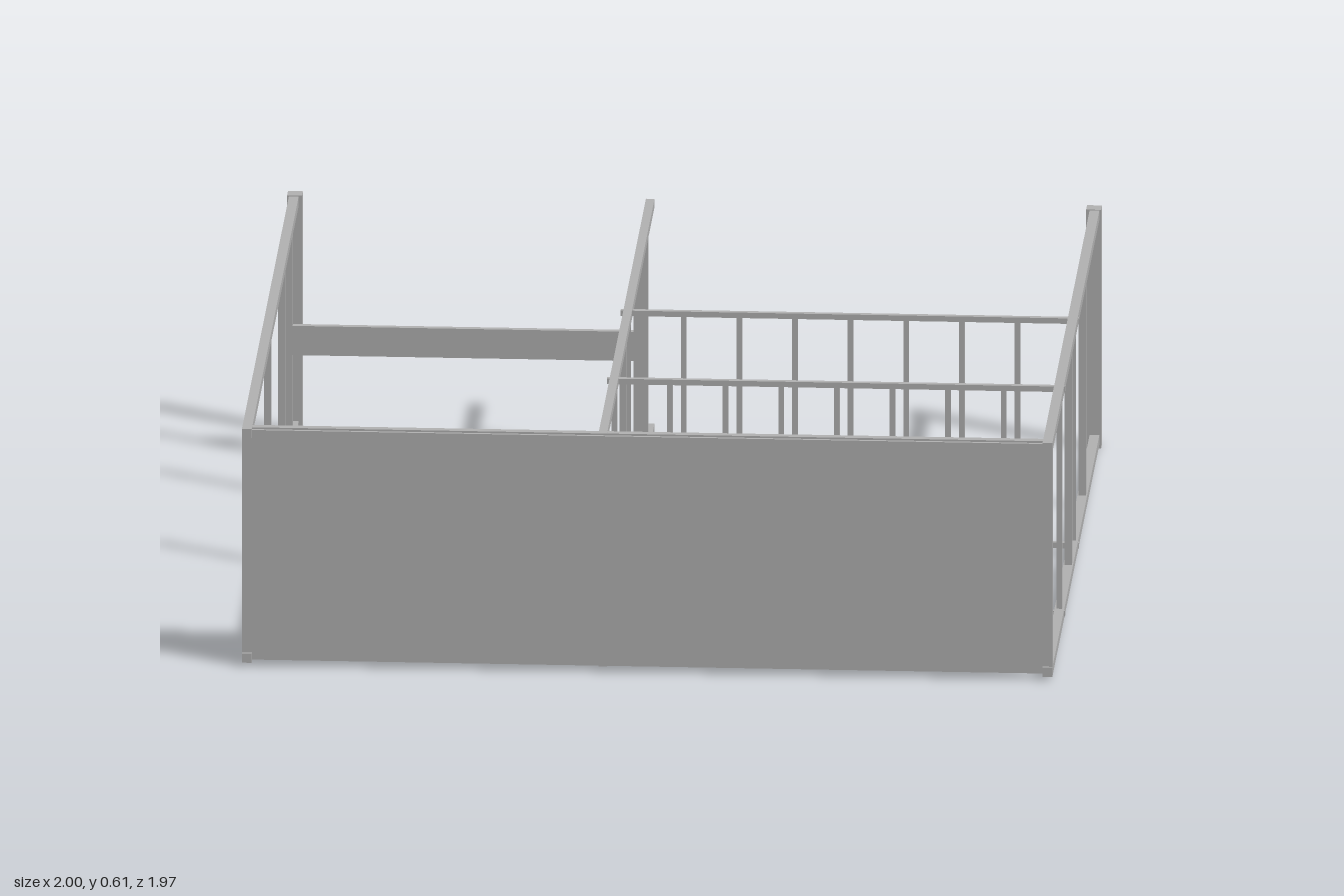
import * as THREE from 'three';

export function createModel() {
  const model = new THREE.Group();
  const grey = new THREE.MeshStandardMaterial({ color: 0xb2b2b2 });
  grey.name = 'steelGrey';

  // Adds a box given by its ranges on each axis
  function bar(name, [x0, x1], [y0, y1], [z0, z1], parent = model) {
    const mesh = new THREE.Mesh(new THREE.BoxGeometry(x1 - x0, y1 - y0, z1 - z0), grey);
    mesh.position.set((x0 + x1) / 2, (y0 + y1) / 2, (z0 + z1) / 2);
    mesh.name = name;
    parent.add(mesh);
  }
  const around = (c, width) => [c - width / 2, c + width / 2];
  const group = (name) => {
    const g = new THREE.Group();
    g.name = name;
    model.add(g);
    return g;
  };

  const LOW = 0.022, HIGH = 0.598;   // rail centre heights
  const SIDE = 0.983, MID = -0.11;   // wall positions in x
  const STUD = [0.034, 0.586];       // stud height range

  // Side walls: rails, corner posts and studs
  for (const s of [1, -1]) {
    const wall = group(s > 0 ? 'leftWall' : 'rightWall');
    const x = s * SIDE;
    for (const y of [LOW, HIGH]) bar('sideRail', around(x, 0.024), around(y, 0.024), [-0.95, 0.982], wall);
    bar('backPost', around(s * 0.981, 0.037), [0, 0.612], [-0.985, -0.948], wall);
    bar('frontPost', around(x, 0.024), STUD, [0.945, 0.975], wall);
    const studs = s > 0 ? [0.12, -0.455] : [0.12, -0.455, -0.755];
    for (const z of studs) bar('sideStud', around(x, 0.018), STUD, around(z, 0.02), wall);
  }

  // Middle wall, open at the back
  const middle = group('middleWall');
  for (const y of [LOW, HIGH]) bar('middleRail', around(MID, 0.021), around(y, 0.022), [-0.983, 0.965], middle);
  for (const z of [0.953, 0.12, -0.455, -0.755]) {
    bar('middleStud', around(MID, 0.018), STUD, around(z, 0.02), middle);
  }

  // Front wall: rails behind a thin solid panel
  const front = group('frontWall');
  for (const y of [LOW, HIGH]) bar('frontRail', [-SIDE, SIDE], around(y, 0.02), around(0.951, 0.02), front);
  bar('frontPanel', [-0.986, 0.986], [0.016, 0.605], [0.966, 0.974], front);

  // Two light partitions with evenly spaced studs
  for (const z of [0.49, -0.075]) {
    const partition = group('partition');
    for (const y of [LOW, HIGH]) bar('partitionRail', [-0.128, 0.997], around(y, 0.014), around(z, 0.014), partition);
    for (let i = 0; i <= 8; i++) {
      const x = MID + (SIDE - MID) * i / 8;
      bar('partitionStud', around(x, 0.014), [LOW, HIGH], around(z, 0.008), partition);
    }
  }

  // Plank spanning the back bay
  bar('backPlank', [-SIDE, MID], [0.265, 0.34], around(-0.755, 0.016));

  return model;
}
